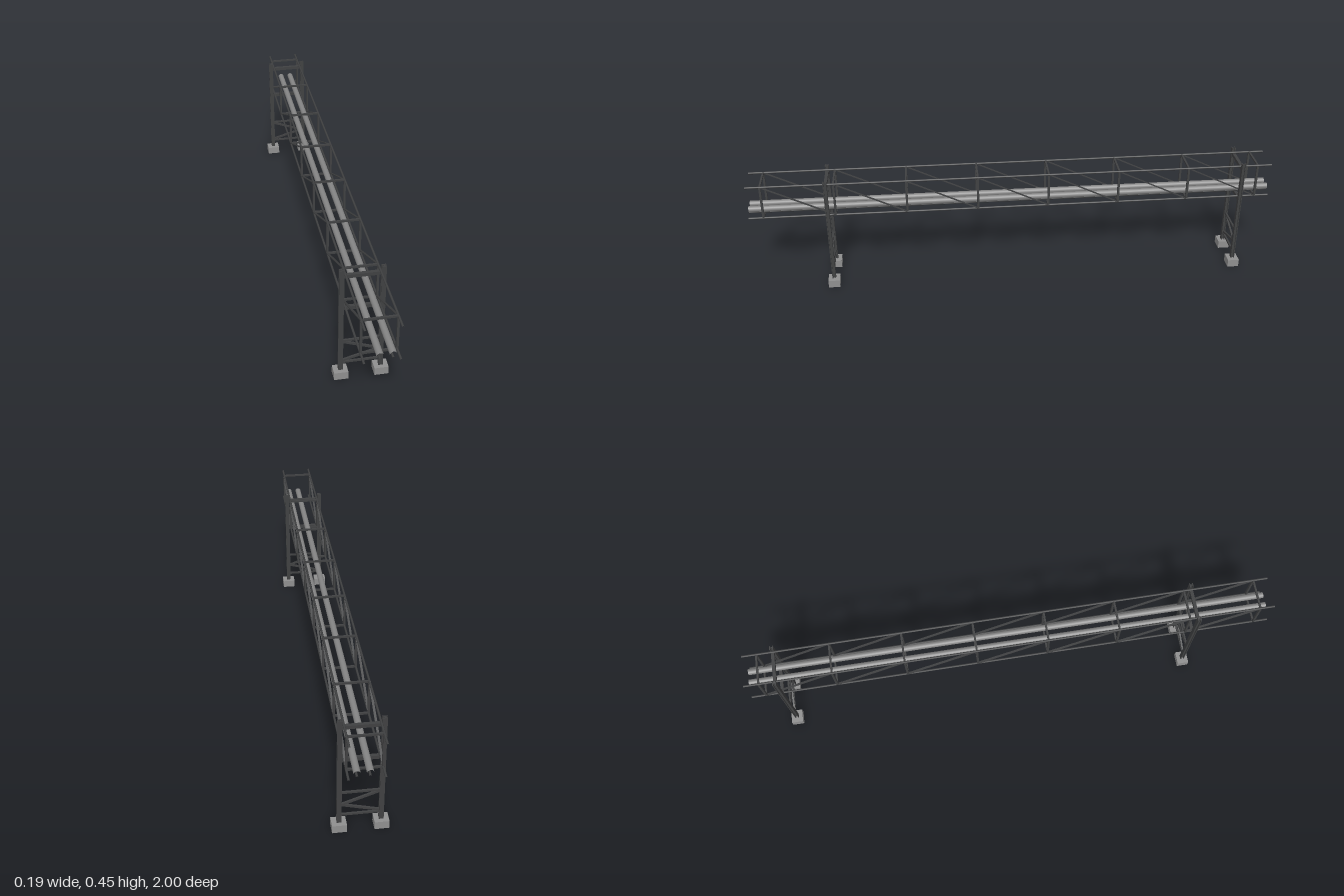
import * as THREE from 'three';

const steel = new THREE.MeshStandardMaterial({ color: 0x404142 });
steel.name = 'dark steel';
const pipeGrey = new THREE.MeshStandardMaterial({ color: 0x858585 });
pipeGrey.name = 'pipe grey';
const concrete = new THREE.MeshStandardMaterial({ color: 0x8f8f8f });
concrete.name = 'concrete';

function add(group, name, geometry, material, x = 0, y = 0, z = 0) {
  const mesh = new THREE.Mesh(geometry, material);
  mesh.name = name;
  mesh.position.set(x, y, z);
  group.add(mesh);
  return mesh;
}

function box(group, name, size, pos, material = steel) {
  return add(group, name, new THREE.BoxGeometry(...size), material, ...pos);
}

// Open-ended tube running the whole length
function tube(group, name, radius, sides, x, y, material) {
  const g = new THREE.CylinderGeometry(radius, radius, 2, sides, 1, true);
  g.rotateX(Math.PI / 2);
  return add(group, name, g, material, x, y, 0);
}

// H-section standing upright with its base at y = 0
function columnGeometry(width, depth, thick, height) {
  const w = width / 2, d = depth / 2, t = thick / 2, f = d - thick;
  const shape = new THREE.Shape([
    [-w, -d], [w, -d], [w, -f], [t, -f], [t, f], [w, f],
    [w, d], [-w, d], [-w, f], [-t, f], [-t, -f], [-w, -f],
  ].map(([a, b]) => new THREE.Vector2(a, b)));
  const g = new THREE.ExtrudeGeometry(shape, { depth: height, bevelEnabled: false });
  return g.rotateX(-Math.PI / 2);
}

// Support frame: two columns on footings, cross beams and bracing
function createPortal(z) {
  const portal = new THREE.Group();
  portal.name = 'supportFrame';
  portal.position.z = z;
  for (const side of [-1, 1]) {
    box(portal, 'footing', [0.05, 0.03, 0.044], [side * 0.071, 0.015, 0], concrete);
    add(portal, 'column', columnGeometry(0.016, 0.014, 0.003, 0.422), steel, side * 0.0705, 0.03, 0);
  }
  box(portal, 'upperBeam', [0.126, 0.013, 0.012], [0, 0.4265, 0]);
  box(portal, 'lowerBeam', [0.126, 0.013, 0.012], [0, 0.2965, 0]);
  for (const y of [0.155, 0.06]) {
    box(portal, 'horizontalBrace', [0.126, 0.007, 0.007], [0, y, 0]);
  }
  for (const [y0, y1] of [[0.15, 0.104], [0.068, 0.103]]) {
    const brace = box(portal, 'diagonalBrace', [Math.hypot(0.126, y1 - y0), 0.008, 0.007], [0, (y0 + y1) / 2, 0]);
    brace.rotation.z = Math.atan2(y1 - y0, 0.126);
  }
  return portal;
}

// Box truss with eight square frames and flat side diagonals
function createTruss() {
  const truss = new THREE.Group();
  truss.name = 'truss';
  const x = 0.0585, low = 0.3055, high = 0.436, step = 0.27, first = 0.945;
  const mid = (low + high) / 2, rise = high - low;
  for (const side of [-1, 1]) {
    for (const y of [low, high]) tube(truss, 'chord', 0.004, 8, side * x, y, steel);
  }
  for (let i = 0; i < 8; i++) {
    const z = first - i * step;
    for (const y of [low, high]) {
      box(truss, 'crossStrut', [2 * x - 0.007, 0.007, 0.007], [0, y, z]);
    }
    for (const side of [-1, 1]) {
      box(truss, 'upright', [0.008, rise - 0.006, 0.008], [side * x, mid, z]);
      if (i < 7) {
        const d = box(truss, 'sideDiagonal', [0.008, 0.0025, Math.hypot(step, rise)], [side * x, mid, z - step / 2]);
        d.rotation.x = -Math.atan2(rise, step);
      }
    }
  }
  return truss;
}

export function createModel() {
  const model = new THREE.Group();
  model.name = 'pipeBridge';
  model.add(createTruss(), createPortal(0.705), createPortal(-0.885));
  // Pipes lying on slim carrier rails
  for (const x of [-0.009, 0.033]) {
    tube(model, 'pipe', 0.0115, 20, x, 0.332, pipeGrey);
    tube(model, 'carrierRail', 0.004, 8, x, 0.3185, steel);
  }
  return model;
}
